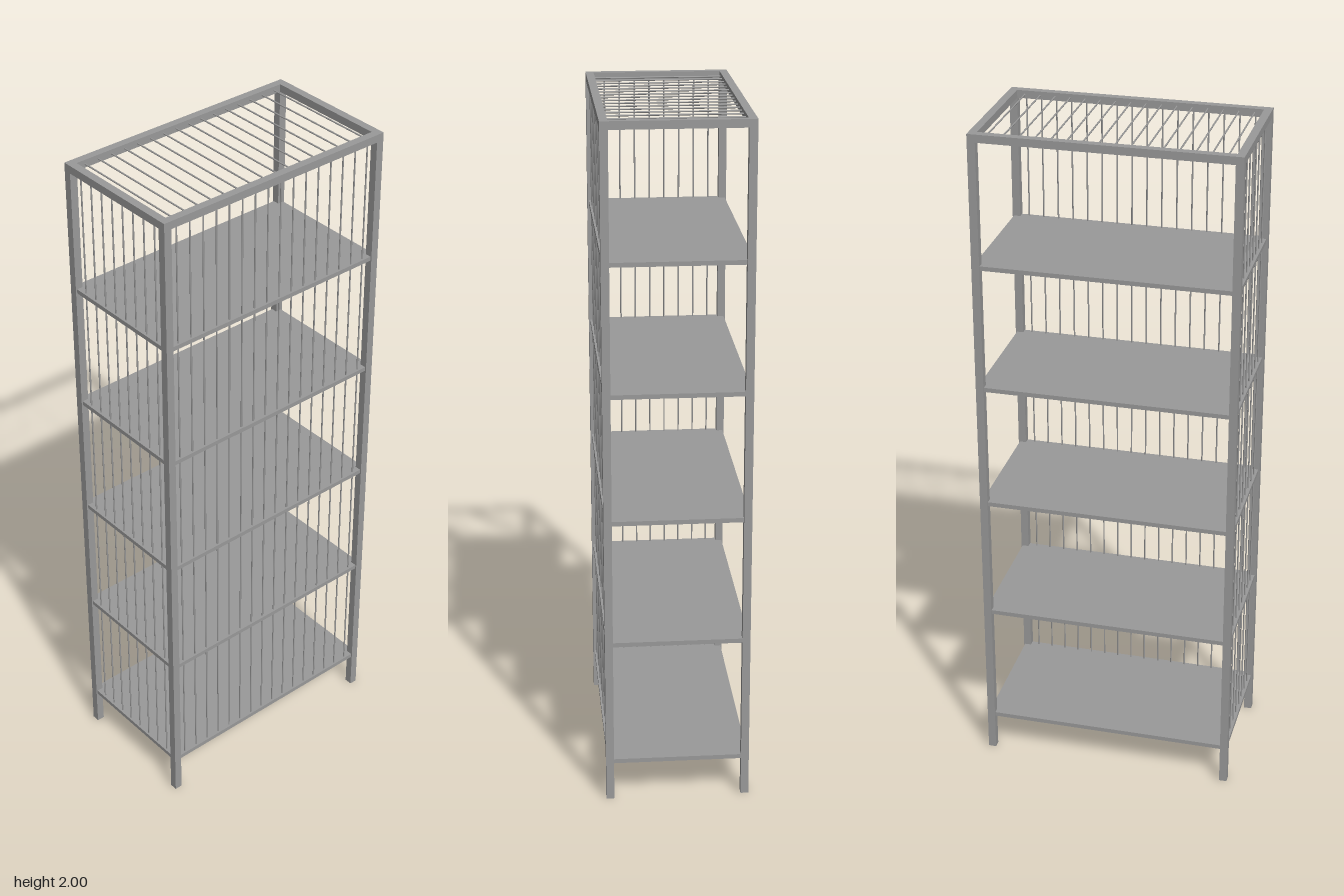
import * as THREE from 'three';

const W = 0.418, D = 0.757, H = 2, T = 0.023; // overall size and tube thickness
const PITCH = 0.0441, WIRE = 0.0023;          // wire spacing and radius

export function createModel() {
  const model = new THREE.Group();
  const material = new THREE.MeshStandardMaterial({ color: 0x9a9a9a });
  const px = (W - T) / 2, pz = (D - T) / 2;   // post centre lines

  const add = (name, geometry, x, y, z) => {
    const mesh = new THREE.Mesh(geometry, material);
    mesh.name = name;
    mesh.position.set(x, y, z);
    model.add(mesh);
  };
  const box = (name, w, h, d, x, y, z) => add(name, new THREE.BoxGeometry(w, h, d), x, y, z);

  // Square corner posts
  for (const sx of [-1, 1])
    for (const sz of [-1, 1]) box('cornerPost', T, H, T, sx * px, H / 2, sz * pz);

  // Top frame
  for (const s of [-1, 1]) {
    box('topSideRail', T, T, D - 2 * T, s * px, H - T / 2, 0);
    box('topEndRail', W - 2 * T, T, T, 0, H - T / 2, s * pz);
  }

  // Five thin shelves, reaching almost to the outer faces of the posts
  const firstShelf = 0.12, step = 0.373;
  for (let i = 0; i < 5; i++)
    box('shelf', W - 0.008, 0.013, D - 0.008, 0, firstShelf + i * step, 0);

  // Upright wires on the front and on one long side
  const bottom = firstShelf, top = H - T / 2;
  const upright = new THREE.CylinderGeometry(WIRE, WIRE, top - bottom, 8);
  const offset = (i, n) => (i - (n - 1) / 2) * PITCH;
  for (let i = 0; i < 8; i++) add('frontWire', upright, offset(i, 8), (top + bottom) / 2, pz);
  for (let i = 0; i < 16; i++) add('sideWire', upright, px, (top + bottom) / 2, offset(i, 16));

  // Cross wires in the top frame
  const cross = new THREE.CylinderGeometry(WIRE, WIRE, 2 * px, 8).rotateZ(Math.PI / 2);
  for (let i = 0; i < 16; i++) add('topWire', cross, 0, top, offset(i, 16) - 0.002);

  return model;
}
